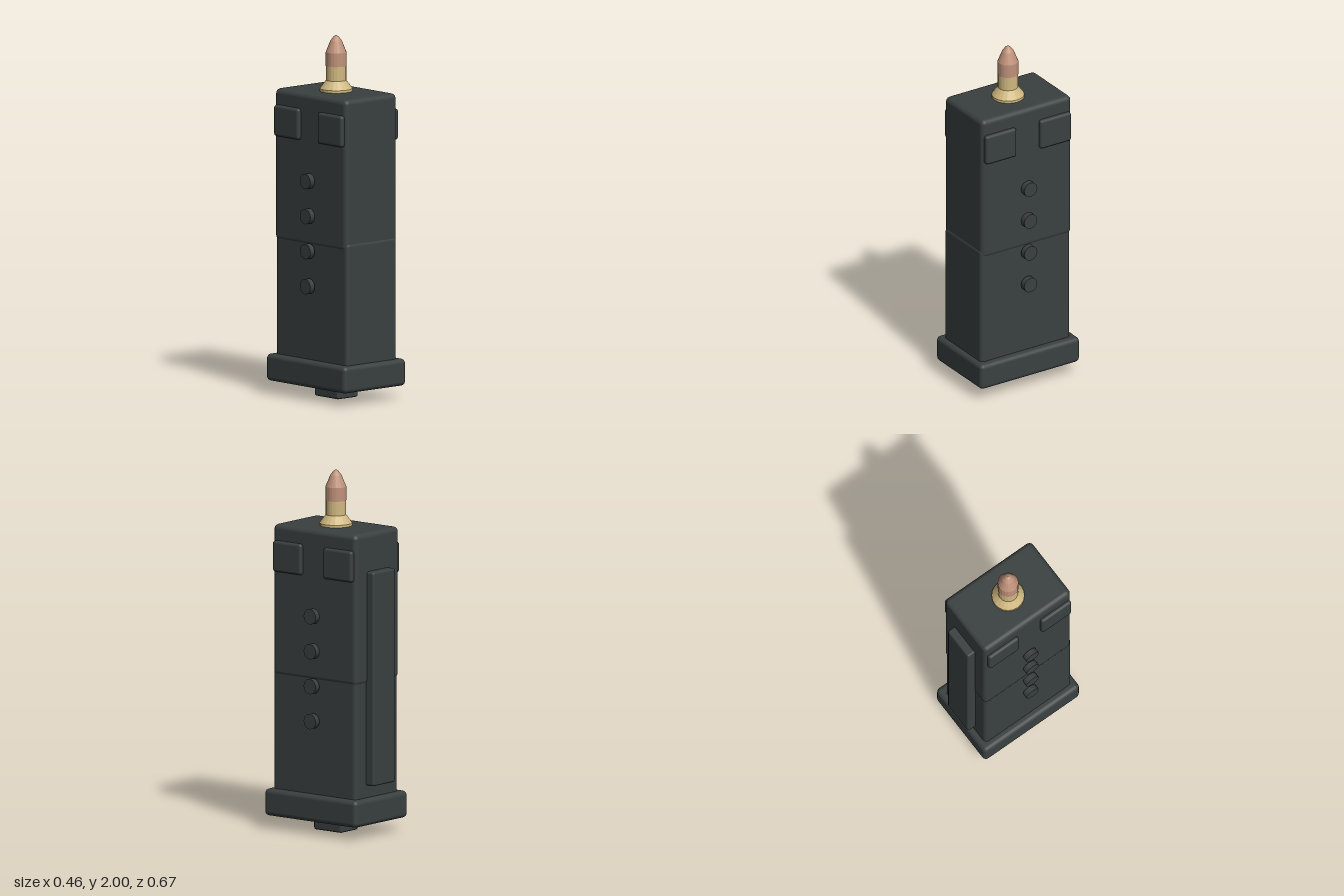
import * as THREE from 'three';
import { RoundedBoxGeometry } from 'three/addons/geometries/RoundedBoxGeometry.js';

const material = (name, color, extra = {}) => {
  const m = new THREE.MeshStandardMaterial({ color, ...extra });
  m.name = name;
  return m;
};

export function createModel() {
  const casing = material('dark casing', 0x3a4040);
  const brass = material('brass', 0xd0b880, { flatShading: true });
  const copper = material('copper', 0xbf927a, { flatShading: true });
  const model = new THREE.Group();
  model.name = 'magazine';
  const midZ = 0.007;

  const add = (name, geometry, mat, x = 0, y = 0, z = 0) => {
    const mesh = new THREE.Mesh(geometry, mat);
    mesh.name = name;
    mesh.position.set(x, y, z);
    model.add(mesh);
    return mesh;
  };

  // Rounded box given by its [min, max] range on each axis
  const box = (name, [x0, x1], [y0, y1], [z0, z1], radius) =>
    add(name, new RoundedBoxGeometry(x1 - x0, y1 - y0, z1 - z0, 3, radius), casing,
      (x0 + x1) / 2, (y0 + y1) / 2, (z0 + z1) / 2);

  // Two-part body, floor plate and foot
  box('upperBody', [-0.19, 0.19], [0.85, 1.69], [-0.288, 0.299], 0.028);
  box('lowerBody', [-0.185, 0.185], [0.15, 0.9], [-0.283, 0.303], 0.024);
  box('floorPlate', [-0.228, 0.228], [0.073, 0.222], [-0.318, 0.331], 0.025);
  box('foot', [-0.075, 0.075], [0, 0.1], [-0.09, 0.105], 0.012);

  // Spine along the back
  box('backSpine', [-0.095, 0.095], [0.29, 1.477], [-0.335, -0.27], 0.012);

  for (const side of [-1, 1]) {
    // Raised pads near the mouth
    for (const [z0, z1] of [[-0.272, -0.07], [0.085, 0.285]]) {
      const xs = side > 0 ? [0.15, 0.212] : [-0.212, -0.15];
      box('sidePad', xs, [1.43, 1.602], [z0, z1], 0.015);
    }
    // Round studs down the middle of each side
    for (let i = 0; i < 4; i++) {
      const stud = add('sideStud', new THREE.CylinderGeometry(0.043, 0.043, 0.032, 12), casing,
        side * 0.211, 0.63 + i * 0.194, midZ);
      stud.rotation.z = Math.PI / 2;
    }
  }

  // Round standing on top: flared case and pointed tip
  const lathe = (name, points, mat) =>
    add(name, new THREE.LatheGeometry(points.map(([r, y]) => new THREE.Vector2(r, y)), 20),
      mat, 0, 0, midZ);
  lathe('cartridgeCase', [[0, 1.68], [0.09, 1.68], [0.09, 1.704], [0.056, 1.75], [0.056, 1.83], [0, 1.83]], brass);
  lathe('cartridgeTip', [[0, 1.829], [0.057, 1.829], [0.057, 1.905], [0.032, 1.967], [0.015, 1.99], [0, 2]], copper);

  return model;
}
